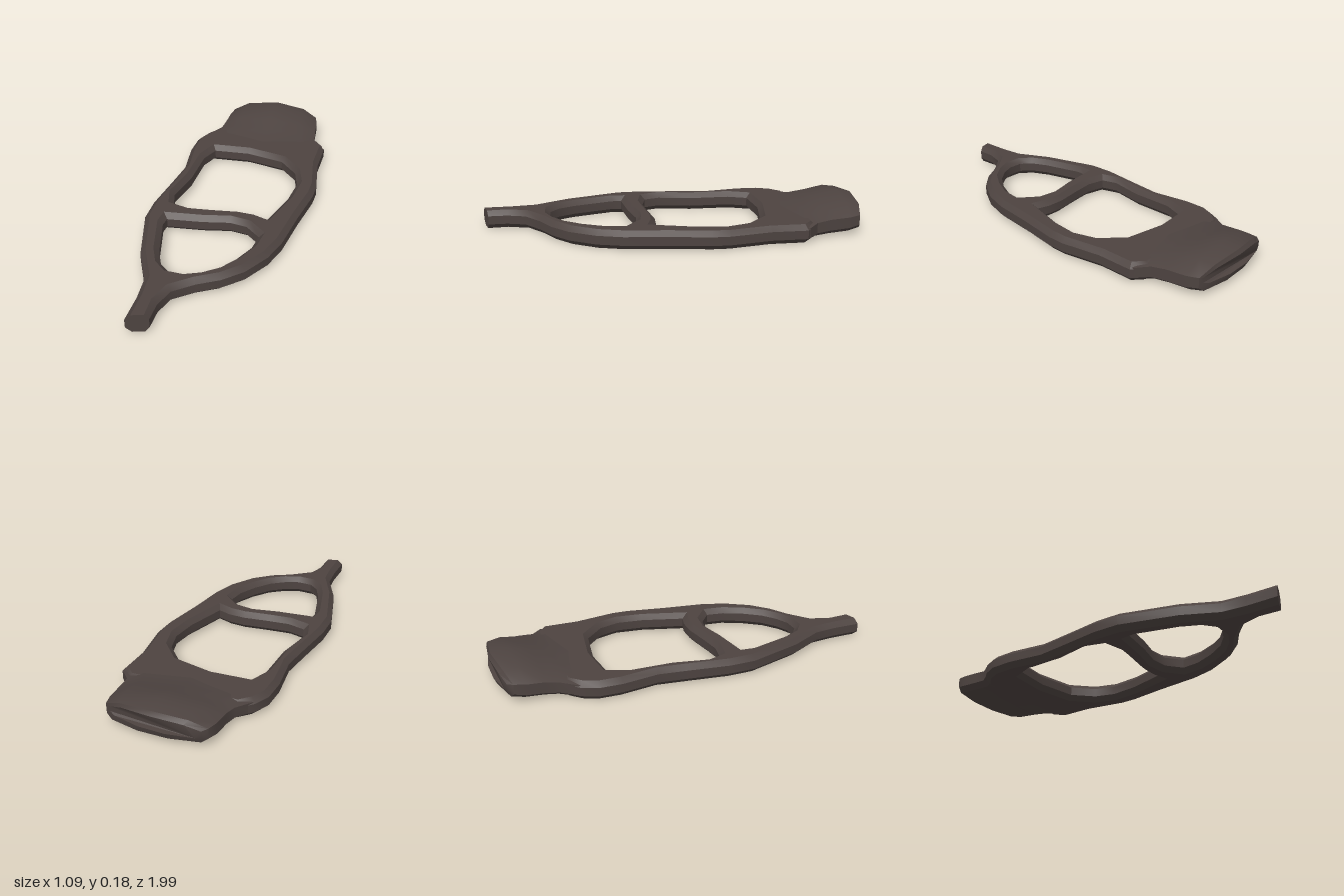
import * as THREE from 'three';
import { toCreasedNormals } from 'three/addons/utils/BufferGeometryUtils.js';

const THICK = 0.104, BEVEL = 0.028;
const points = list => list.map(([x, z]) => new THREE.Vector2(x, z));

// Flat bevelled frame: outline with two openings, laid on the ground
function frameGeometry() {
  const shape = new THREE.Shape(points([
    [-0.545, 1.04], [-0.50, 0.85], [-0.475, 0.72], [-0.51, 0.52], [-0.51, 0.2], [-0.47, 0.06],
    [-0.38, -0.14], [-0.31, -0.3], [-0.28, -0.5], [-0.24, -0.62], [-0.18, -0.69], [-0.1, -0.735],
    [0.49, -0.57], [0.54, -0.49], [0.48, -0.3], [0.45, -0.07], [0.42, 0.02], [0.32, 0.22],
    [0.22, 0.44], [0.14, 0.56], [0.02, 0.67], [-0.1, 0.73], [-0.22, 0.76], [-0.34, 0.81],
    [-0.40, 0.9], [-0.43, 1.04],
  ]));
  const upperOpening = [
    [-0.13, -0.49], [0.07, -0.45], [0.27, -0.35], [0.34, -0.22], [0.34, -0.1], [0.28, 0.04],
    [0.15, 0.24], [0.09, 0.2], [0, 0.17], [-0.15, 0.15], [-0.27, 0.13], [-0.36, 0.08],
    [-0.36, -0.01], [-0.27, -0.18], [-0.2, -0.4],
  ];
  const lowerOpening = [
    [-0.39, 0.22], [-0.2, 0.25], [-0.05, 0.26], [0.04, 0.3], [0.1, 0.39], [0.06, 0.48],
    [-0.02, 0.57], [-0.11, 0.64], [-0.2, 0.675], [-0.28, 0.685], [-0.36, 0.66], [-0.4, 0.6],
    [-0.415, 0.5], [-0.41, 0.27],
  ];
  for (const hole of [upperOpening, lowerOpening]) shape.holes.push(new THREE.Path(points(hole)));
  const geo = new THREE.ExtrudeGeometry(shape, {
    depth: THICK - 2 * BEVEL, bevelEnabled: true, bevelSegments: 1,
    bevelSize: BEVEL, bevelThickness: BEVEL, bevelOffset: -BEVEL,
  });
  geo.rotateX(Math.PI / 2).translate(0, THICK - BEVEL, 0);
  // cut the tail off flat
  const p = geo.attributes.position;
  for (let i = 0; i < p.count; i++) if (p.getZ(i) > 1) p.setZ(i, 1);
  return toCreasedNormals(geo, 0.6);
}

// Raised, arched head lofted through slanted cross-sections
function headGeometry() {
  // left x, left z, right x, right z, bottom y, side y, crown y, backward bow
  const sections = [
    [-0.21, -0.63, 0.52, -0.44, 0.004, 0.07, 0.102, 0],
    [-0.17, -0.69, 0.53, -0.51, 0.004, 0.085, 0.112, 0],
    [-0.09, -0.755, 0.49, -0.58, 0.006, 0.09, 0.128, 0],
    [-0.06, -0.82, 0.50, -0.66, 0.012, 0.10, 0.152, 0],
    [-0.03, -0.91, 0.522, -0.77, 0.018, 0.105, 0.182, 0.02],
    [0.0, -0.965, 0.522, -0.835, 0.03, 0.11, 0.168, 0.045],
    [0.03, -0.985, 0.50, -0.85, 0.065, 0.105, 0.145, 0.04],
  ];
  // position across the section, and height: 0 bottom, 1 side, 2 crown
  const ring = [
    [0.06, 0], [0.35, 0], [0.65, 0], [0.94, 0], [1, 0.3], [1, 1],
    [0.84, 1.7], [0.5, 2], [0.16, 1.7], [0, 1], [0, 0.3],
  ];
  const n = ring.length, pos = [], index = [];
  for (const [lx, lz, rx, rz, bottom, side, crown, bow] of sections) {
    for (const [t, h] of ring) {
      const push = bow * (1 - (2 * t - 1) ** 2);
      const y = h <= 1 ? bottom + (side - bottom) * h : side + (crown - side) * (h - 1);
      pos.push(lx + (rx - lx) * t + push * 0.27, y, lz + (rz - lz) * t - push);
    }
  }
  const last = (sections.length - 1) * n;
  for (let i = 0; i < last; i += n) {
    for (let j = 0; j < n; j++) {
      const k = (j + 1) % n;
      index.push(i + j, i + n + j, i + k, i + k, i + n + j, i + n + k);
    }
  }
  for (let j = 1; j < n - 1; j++) index.push(0, j, j + 1, last, last + j + 1, last + j);
  const geo = new THREE.BufferGeometry();
  geo.setAttribute('position', new THREE.Float32BufferAttribute(pos, 3));
  geo.setIndex(index);
  return toCreasedNormals(geo, 0.6);
}

export function createModel() {
  const model = new THREE.Group();
  model.name = 'openFrameHandle';
  const material = new THREE.MeshStandardMaterial({ color: 0x4d4340 });
  const add = (name, geometry) => {
    const mesh = new THREE.Mesh(geometry, material);
    mesh.name = name;
    model.add(mesh);
  };
  add('frame', frameGeometry());
  add('head', headGeometry());
  return model;
}
